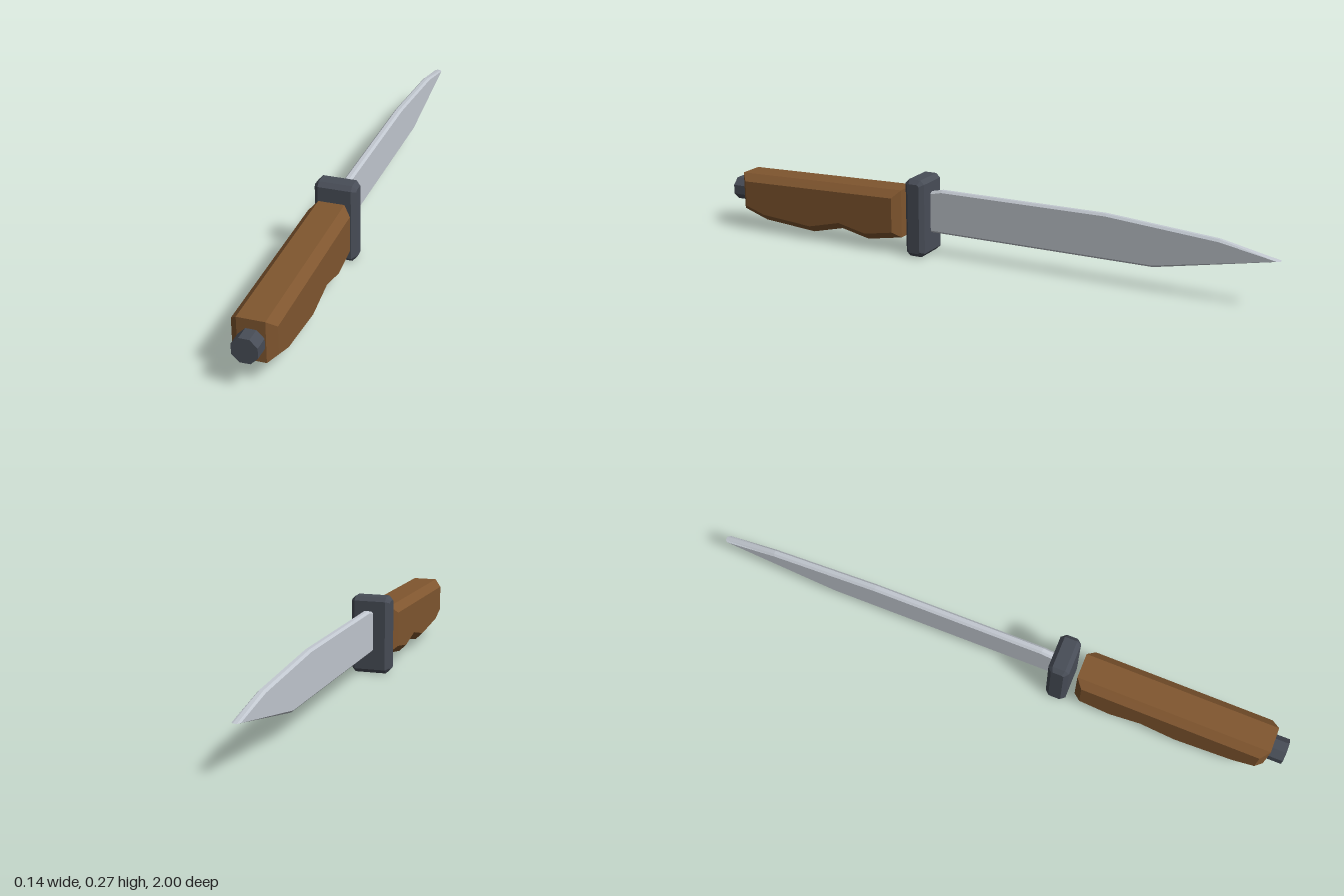
import * as THREE from 'three';

// Side profile given as [z, y] points, extruded across x with a single chamfer.
// The points are the outer outline; the side faces are inset by `inset`.
function chamferedSlab(points, width, inset, chamfer) {
  const shape = new THREE.Shape(points.map(([z, y]) => new THREE.Vector2(z, y)));
  const depth = width - 2 * chamfer;
  const geometry = new THREE.ExtrudeGeometry(shape, {
    depth,
    bevelEnabled: true,
    bevelSegments: 1,
    bevelThickness: chamfer,
    bevelSize: inset,
    bevelOffset: -inset,
  });
  geometry.translate(0, 0, -depth / 2);
  geometry.rotateY(-Math.PI / 2);
  return geometry;
}

export function createModel() {
  const material = (name, color) => {
    const m = new THREE.MeshStandardMaterial({ color });
    m.name = name;
    return m;
  };
  const steel = material('steel', 0xc2c8d0);
  const wood = material('wood', 0x80562f);
  const darkMetal = material('darkMetal', 0x484d57);

  const model = new THREE.Group();
  model.name = 'knife';
  const add = (name, geometry, mat) => {
    const mesh = new THREE.Mesh(geometry, mat);
    mesh.name = name;
    model.add(mesh);
    return mesh;
  };

  // Blade: straight spine dropping to the point, straight edge rising to it
  add('blade', chamferedSlab([
    [0.22, 0.078], [0.22, 0.215], [0.155, 0.23], [-0.437, 0.23],
    [-0.81, 0.2], [-1, 0.158], [-0.6, 0.078],
  ], 0.026, 0.007, 0.007), steel);

  // Guard: block with every edge chamfered
  const [z0, z1, h, c] = [0.195, 0.266, 0.27, 0.014];
  add('guard', chamferedSlab([
    [z0, c], [z0, h - c], [z0 + c, h], [z1 - c, h],
    [z1, h - c], [z1, c], [z1 - c, 0], [z0 + c, 0],
  ], 0.138, c, c), darkMetal);

  // Handle: tapering top, finger grooves along the bottom
  add('handle', chamferedSlab([
    [0.292, 0.055], [0.292, 0.222], [0.95, 0.205], [0.95, 0.072],
    [0.857, 0.041], [0.652, 0.025], [0.532, 0.054], [0.425, 0.031],
  ], 0.138, 0.025, 0.026), wood);

  // Pommel: eight-sided stud at the end of the handle
  const stud = new THREE.CylinderGeometry(0.0425, 0.0425, 0.08, 8).toNonIndexed();
  stud.computeVertexNormals();
  stud.rotateY(Math.PI / 8);
  stud.rotateX(Math.PI / 2);
  add('pommel', stud, darkMetal).position.set(0, 0.135, 0.96);

  return model;
}
